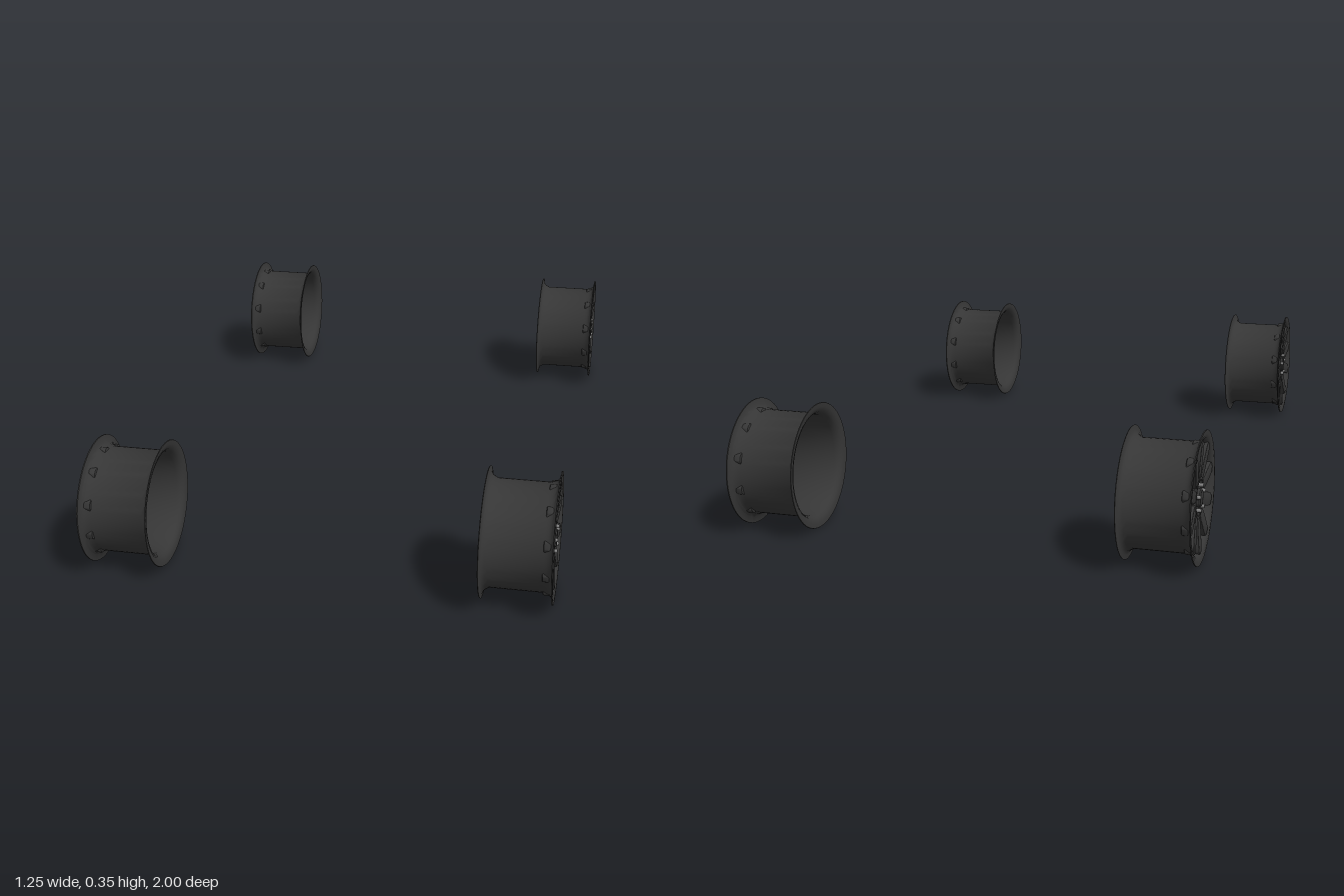
import * as THREE from 'three';
import { toCreasedNormals } from 'three/addons/utils/BufferGeometryUtils.js';

const alloy = new THREE.MeshStandardMaterial({ color: 0x363636 });
alloy.name = 'dark alloy';
const steel = new THREE.MeshStandardMaterial({ color: 0x858585 });
steel.name = 'nut steel';

const SPOKES = 10, NUTS = 5;
const TAU = Math.PI * 2;

function add(parent, name, geometry, material) {
  const mesh = new THREE.Mesh(geometry, material);
  mesh.name = name;
  parent.add(mesh);
  return mesh;
}

// Revolved part whose axis is z, outer side towards +z
function revolve(profile, segments) {
  const points = profile.map(([r, z]) => new THREE.Vector2(r, z));
  return toCreasedNormals(new THREE.LatheGeometry(points, segments).rotateX(Math.PI / 2), 0.7);
}

// Closed section of the barrel: outside going outwards, then inside going back
const barrelProfile = [
  [0.172, -0.095], [0.173, -0.093], [0.160, -0.091], [0.151, -0.087], [0.147, -0.080],
  [0.143, -0.073], [0.143, 0.068], [0.147, 0.076], [0.149, 0.083], [0.155, 0.088],
  [0.173, 0.091], [0.173, 0.094], [0.163, 0.094], [0.152, 0.091], [0.147, 0.086],
  [0.143, 0.076], [0.138, 0.066], [0.138, -0.073], [0.143, -0.083], [0.149, -0.090],
  [0.160, -0.094], [0.172, -0.095],
];

// Hub disc with a shallow dish around the centre cap
const hubProfile = [
  [0.001, 0.055], [0.050, 0.055], [0.060, 0.062], [0.060, 0.080], [0.054, 0.086],
  [0.047, 0.086], [0.043, 0.081], [0.001, 0.081],
];
const capProfile = [
  [0.001, 0.078], [0.024, 0.078], [0.024, 0.088], [0.021, 0.091], [0.001, 0.092],
];

// Petal-like spoke with a bevelled face that dishes slightly towards the hub
function spokeGeometry() {
  const s = new THREE.Shape();
  s.moveTo(-0.010, 0.040);
  s.lineTo(-0.014, 0.070);
  s.quadraticCurveTo(-0.017, 0.105, -0.014, 0.138);
  s.quadraticCurveTo(-0.010, 0.147, 0, 0.147);
  s.quadraticCurveTo(0.010, 0.147, 0.014, 0.138);
  s.quadraticCurveTo(0.017, 0.105, 0.014, 0.070);
  s.lineTo(0.010, 0.040);
  s.closePath();
  const g = new THREE.ExtrudeGeometry(s, {
    depth: 0.018, bevelEnabled: true, bevelThickness: 0.004, bevelSize: 0.003,
    bevelSegments: 2, curveSegments: 6,
  });
  const p = g.attributes.position;
  for (let i = 0; i < p.count; i++) {
    const t = (p.getY(i) - 0.04) / 0.11;
    p.setZ(i, p.getZ(i) + 0.062 + 0.008 * t);
  }
  return toCreasedNormals(g, 0.6);
}

const geometries = {
  barrel: revolve(barrelProfile, 64),
  hub: revolve(hubProfile, 40),
  cap: revolve(capProfile, 32),
  spoke: spokeGeometry(),
  nut: new THREE.CylinderGeometry(0.0052, 0.006, 0.016, 6).rotateX(Math.PI / 2),
};

function createWheel(name) {
  const wheel = new THREE.Group();
  wheel.name = name;
  add(wheel, 'barrel', geometries.barrel, alloy);
  add(wheel, 'hub', geometries.hub, alloy);
  add(wheel, 'centreCap', geometries.cap, alloy);
  for (let i = 0; i < SPOKES; i++) {
    add(wheel, 'spoke', geometries.spoke, alloy).rotation.z = (i / SPOKES) * TAU;
  }
  // Lug nuts between cap and hub edge
  for (let i = 0; i < NUTS; i++) {
    const a = Math.PI / 2 + (i / NUTS) * TAU;
    add(wheel, 'lugNut', geometries.nut, steel)
      .position.set(0.034 * Math.cos(a), 0.034 * Math.sin(a), 0.087);
  }
  return wheel;
}

export function createModel() {
  const model = new THREE.Group();
  model.name = 'wheelRims';
  for (const side of [1, -1]) {
    for (const end of [1, -1]) {
      const name = (end > 0 ? 'front' : 'rear') + (side > 0 ? 'Left' : 'Right') + 'Wheel';
      const wheel = createWheel(name);
      wheel.position.set(side * 0.528, 0.175, end * 0.827);
      wheel.rotation.y = side * Math.PI / 2;
      model.add(wheel);
    }
  }
  return model;
}
